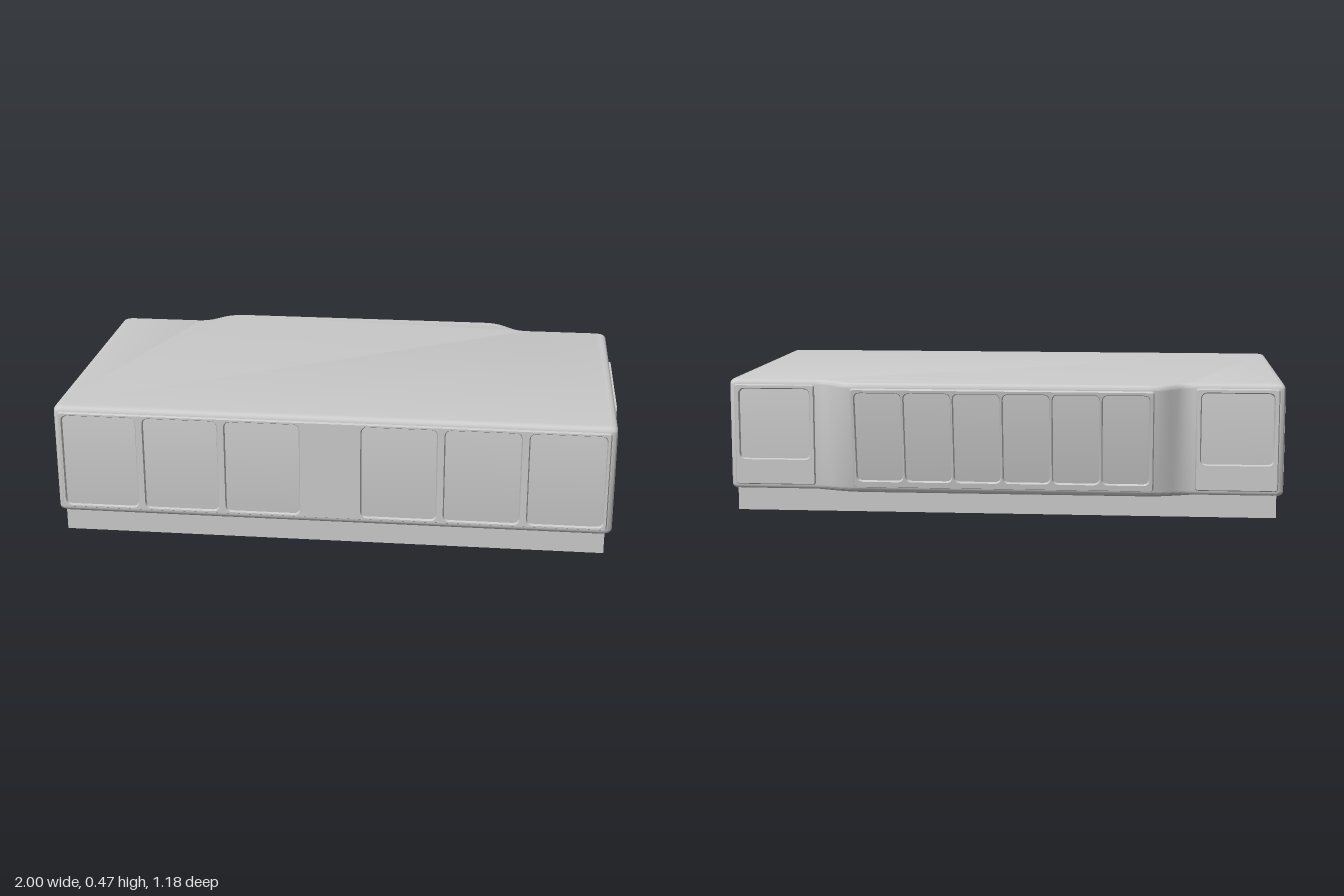
import * as THREE from 'three';
import { toCreasedNormals } from 'three/addons/utils/BufferGeometryUtils.js';

const material = new THREE.MeshStandardMaterial({ color: 0xcccccc });
const BOTTOM = 0.075, TOP = 0.475, ROUND = 0.02, RECESS = 0.008;
const bayZ = (y) => -0.535 - 0.15 * (y - BOTTOM);

function add(parent, geometry, name) {
  const mesh = new THREE.Mesh(geometry, material);
  mesh.name = name;
  parent.add(mesh);
  return mesh;
}

// Plan outline at height y, pulled in by d, counter-clockwise from above
function outline(y, d) {
  const x = 0.985 - d, front = 0.59 - RECESS - d, back = -0.5 + RECESS + d;
  const half = [[x, front, 0.03], [x, back, 0.03], [0.64 - d * 0.4, back, 0.04],
    [0.55 - d * 0.4, bayZ(y) + RECESS + d, 0.05]];
  const corners = [...half, ...half.slice().reverse().map(([px, z, r]) => [-px, z, r])]
    .map(([px, z, r]) => ({ p: new THREE.Vector2(px, z), r }));
  return corners.flatMap(({ p, r }, i) => {
    const toward = (q) => q.clone().sub(p).setLength(r).add(p);
    const before = toward(corners[(i + 7) % 8].p), after = toward(corners[(i + 1) % 8].p);
    return new THREE.QuadraticBezierCurve(before, p, after).getPoints(6);
  });
}

// Main body: stacked outlines with rounded top and bottom edges
function bodyGeometry() {
  const levels = [];
  for (let i = 0; i <= 5; i++) {
    const a = (i / 5) * Math.PI / 2;
    levels.push([BOTTOM + ROUND * (1 - Math.cos(a)), ROUND * (1 - Math.sin(a))]);
  }
  levels.push(...levels.slice().reverse().map(([y, d]) => [TOP + BOTTOM - y, d]));
  const rings = levels.map(([y, d]) => outline(y, d));
  const n = rings[0].length, last = (rings.length - 1) * n;
  const positions = rings.flatMap((ring, k) => ring.flatMap((p) => [p.x, levels[k][0], p.y]));
  const index = [];
  for (let k = 0; k < rings.length - 1; k++) {
    for (let j = 0; j < n; j++) {
      const a = k * n + j, b = k * n + (j + 1) % n;
      index.push(a, b, b + n, a, b + n, a + n);
    }
  }
  const cap = (ring) => THREE.ShapeUtils.triangulateShape(ring.map((p) => new THREE.Vector2(p.x, -p.y)), []);
  cap(rings[0]).forEach(([a, b, c]) => index.push(a, c, b));
  cap(rings.at(-1)).forEach(([a, b, c]) => index.push(last + a, last + b, last + c));
  const geometry = new THREE.BufferGeometry();
  geometry.setAttribute('position', new THREE.Float32BufferAttribute(positions, 3));
  geometry.setIndex(index);
  return toCreasedNormals(geometry, 0.6);
}

function roundedRect(path, x0, x1, y0, y1, r) {
  path.moveTo(x0 + r, y0);
  path.lineTo(x1 - r, y0).quadraticCurveTo(x1, y0, x1, y0 + r);
  path.lineTo(x1, y1 - r).quadraticCurveTo(x1, y1, x1 - r, y1);
  path.lineTo(x0 + r, y1).quadraticCurveTo(x0, y1, x0, y1 - r);
  path.lineTo(x0, y0 + r).quadraticCurveTo(x0, y0, x0 + r, y0);
  return path;
}

// Wall skin with openings that read as recessed panels; its outer face is at z = 0
function skin(x0, x1, y0, y1, openings) {
  const shape = roundedRect(new THREE.Shape(), x0, x1, y0, y1, 0.012);
  shape.holes = openings.map((o) => roundedRect(new THREE.Path(), ...o, 0.02));
  return toCreasedNormals(new THREE.ExtrudeGeometry(shape, {
    depth: 0.002, curveSegments: 5, bevelThickness: RECESS, bevelSize: 0.004,
    bevelOffset: -0.004, bevelSegments: 1,
  }).translate(0, 0, -0.002 - RECESS), 0.5);
}

// Entrance facing +z: frame with two side lights and two sliding leaves
function entrance() {
  const group = new THREE.Group();
  group.name = 'entrance';
  const shape = roundedRect(new THREE.Shape(), -0.255, 0.255, 0.085, 0.415, 0.001);
  const bays = [[0.147, 0.243, 0.1, 0.402], [0.01, 0.14, 0.11, 0.39]];
  for (const [a, b, y0, y1] of bays) {
    for (const [x0, x1] of [[a, b], [-b, -a]]) {
      shape.holes.push(roundedRect(new THREE.Path(), x0, x1, y0, y1, 0.001));
      const pane = add(group, new THREE.BoxGeometry(x1 - x0 + 0.004, y1 - y0 + 0.004, 0.02), 'doorPane');
      pane.position.set((x0 + x1) / 2, (y0 + y1) / 2, 0.98);
    }
  }
  const frame = add(group, new THREE.ExtrudeGeometry(shape, { depth: 0.025, bevelEnabled: false }), 'doorFrame');
  frame.position.z = 0.975;
  return group;
}

export function createModel() {
  const model = new THREE.Group();
  model.name = 'building';

  // Plinth and body
  add(model, new THREE.BoxGeometry(1.92, 0.09, 1.05), 'plinth').position.set(0, 0.045, 0.04);
  add(model, bodyGeometry(), 'body');

  // Front wall: three panels on each side of the centre
  const frontPanels = [0.11, 0.4, 0.69].flatMap((x) =>
    [[x, x + 0.26, 0.108, 0.443], [-x - 0.26, -x, 0.108, 0.443]]);
  add(model, skin(-0.965, 0.965, 0.095, 0.457, frontPanels), 'frontWall').position.z = 0.59;

  // Sloping rear bay with six panels
  const bayPanels = [];
  for (let i = 0; i < 6; i++) {
    const x = -0.52 + i * 0.1733;
    bayPanels.push([x + 0.006, x + 0.167, -0.155, 0.165]);
  }
  const bay = add(model, skin(-0.53, 0.53, -0.182, 0.182, bayPanels), 'rearBayWall');
  bay.position.set(0, 0.275, bayZ(0.275));
  bay.rotation.set(Math.atan(0.15), Math.PI, 0, 'YXZ');

  for (const side of [-1, 1]) {
    // Rear walls beside the bay
    const rear = add(model, skin(-0.145, 0.145, 0.095, 0.457, [[-0.125, 0.125, 0.19, 0.44]]), 'rearWall');
    rear.position.set(side * 0.82, 0, -0.5);
    rear.rotation.y = Math.PI;

    // Side entrances
    const door = entrance();
    door.rotation.y = side * Math.PI / 2;
    door.position.z = -0.045;
    model.add(door);
  }
  return model;
}
